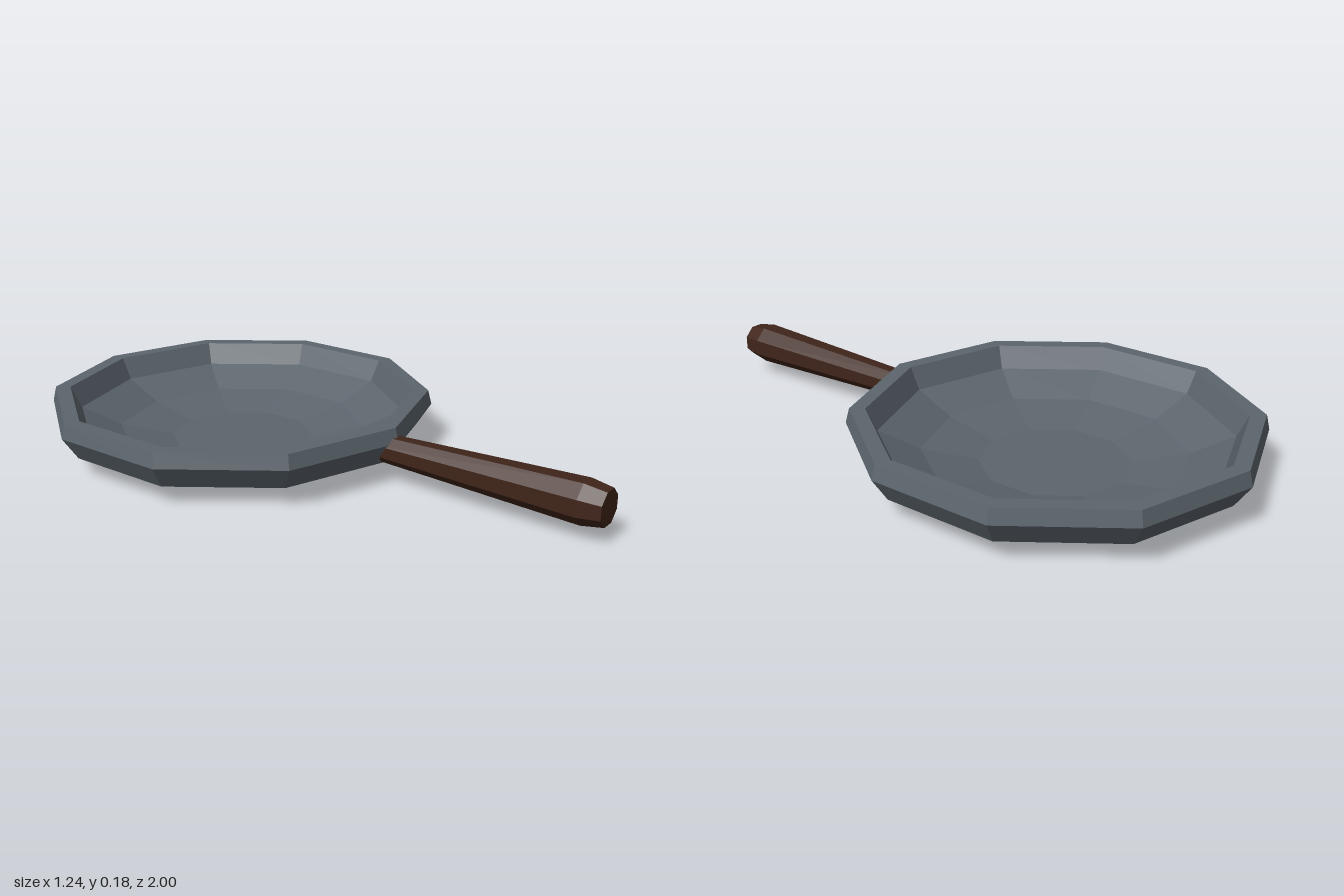
import * as THREE from 'three';

// Faceted solid of revolution from [radius, height] pairs
function turned(name, profile, sides, start, color) {
  const points = profile.map(([r, h]) => new THREE.Vector2(r, h));
  const geometry = new THREE.LatheGeometry(points, sides, start);
  const material = new THREE.MeshStandardMaterial({ color, flatShading: true });
  const mesh = new THREE.Mesh(geometry, material);
  mesh.name = name;
  return mesh;
}

export function createModel() {
  const group = new THREE.Group();
  group.name = 'fryingPan';

  // Ten-sided bowl: underside, flared wall, rim, then back down the inside
  const bowl = turned('panBowl', [
    [0, 0], [0.25, 0], [0.6, 0.06], [0.65, 0.135], [0.638, 0.183],
    [0.588, 0.183], [0.553, 0.11], [0.42, 0.05], [0.24, 0.015], [0, 0.015],
  ], 10, 0, 0x5c656d);
  bowl.position.z = -0.35;
  group.add(bowl);

  // Eight-sided wooden handle, widening towards a bevelled end
  const k = 1 / Math.cos(Math.PI / 8); // flat-to-flat half width to corner radius
  const handle = turned('handle', [
    [0, 0.24], [0.042 * k, 0.24], [0.064 * k, 0.93], [0.053 * k, 1], [0, 1],
  ], 8, Math.PI / 8, 0x40251a);
  handle.rotation.x = Math.PI / 2;
  handle.position.y = 0.109;
  group.add(handle);

  return group;
}
